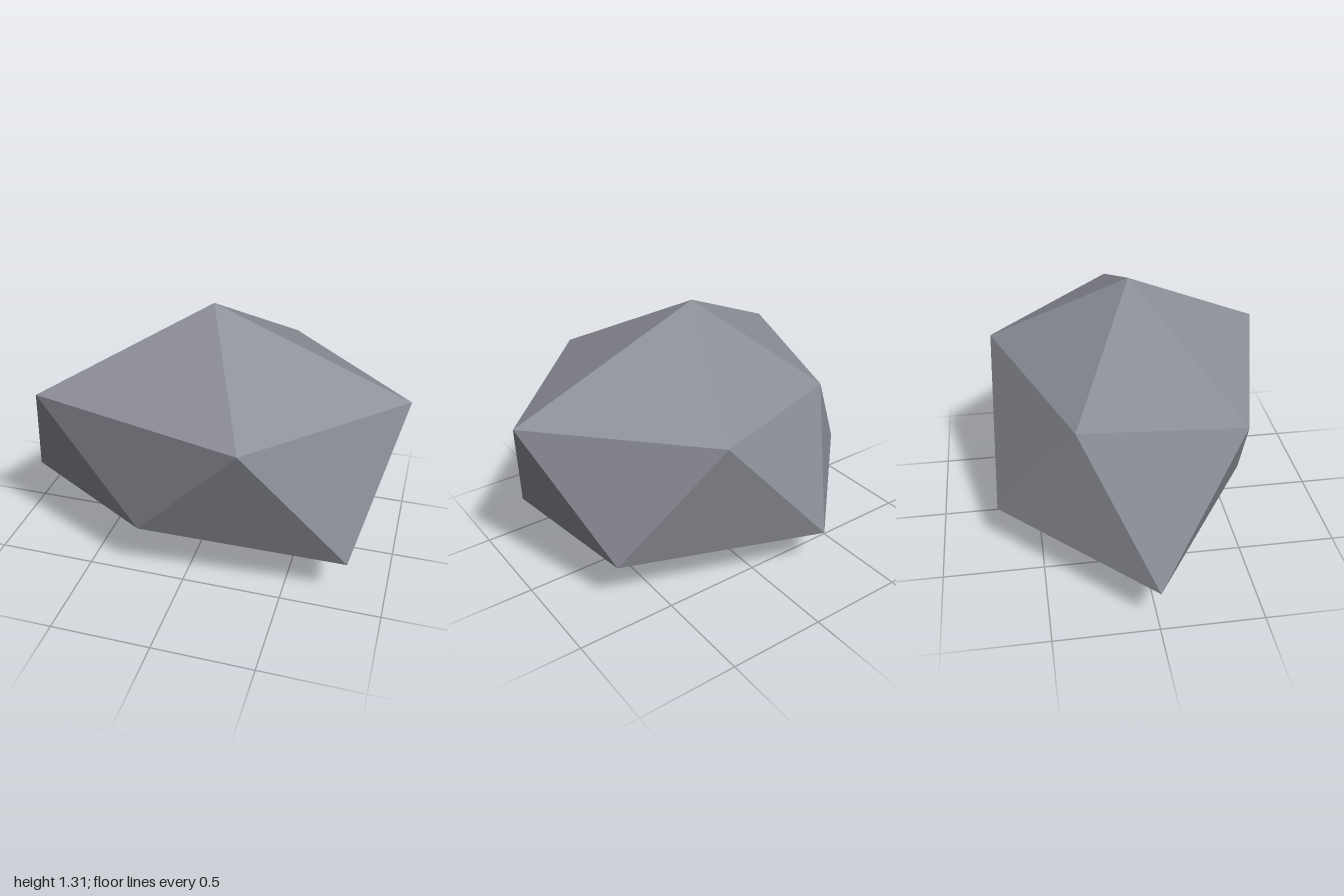
import * as THREE from 'three';

// Faceted boulder: two staggered five-point rings capped by a peak and a base point.
export function createModel() {
  const group = new THREE.Group();
  group.name = 'boulder';

  const peak = [0.02, 1.31, 0];
  const base = [0.01, 0, 0];
  const upper = [
    [1, 0.915, 0], [0.325, 0.92, 0.712], [-0.757, 0.91, 0.422],
    [-0.56, 0.82, -0.325], [0.31, 0.905, -0.685],
  ];
  const lower = [
    [0.81, 0.228, 0.437], [-0.215, 0.308, 0.545], [-1, 0.217, 0],
    [-0.285, 0.225, -0.712], [0.727, 0.265, -0.395],
  ];

  // Each fifth of the rock: one cap facet, two side facets, one underside facet
  const corners = [];
  for (let i = 0; i < 5; i++) {
    const j = (i + 1) % 5;
    corners.push(
      peak, upper[j], upper[i],
      upper[i], upper[j], lower[i],
      upper[j], lower[j], lower[i],
      base, lower[i], lower[j],
    );
  }
  const geometry = new THREE.BufferGeometry();
  geometry.setAttribute('position', new THREE.Float32BufferAttribute(corners.flat(), 3));
  geometry.computeVertexNormals(); // unshared corners keep every facet flat

  const stone = new THREE.MeshStandardMaterial({ color: 0x8c8e97 });
  stone.name = 'grey stone';
  stone.flatShading = true;

  const rock = new THREE.Mesh(geometry, stone);
  rock.name = 'rock';
  group.add(rock);
  return group;
}
